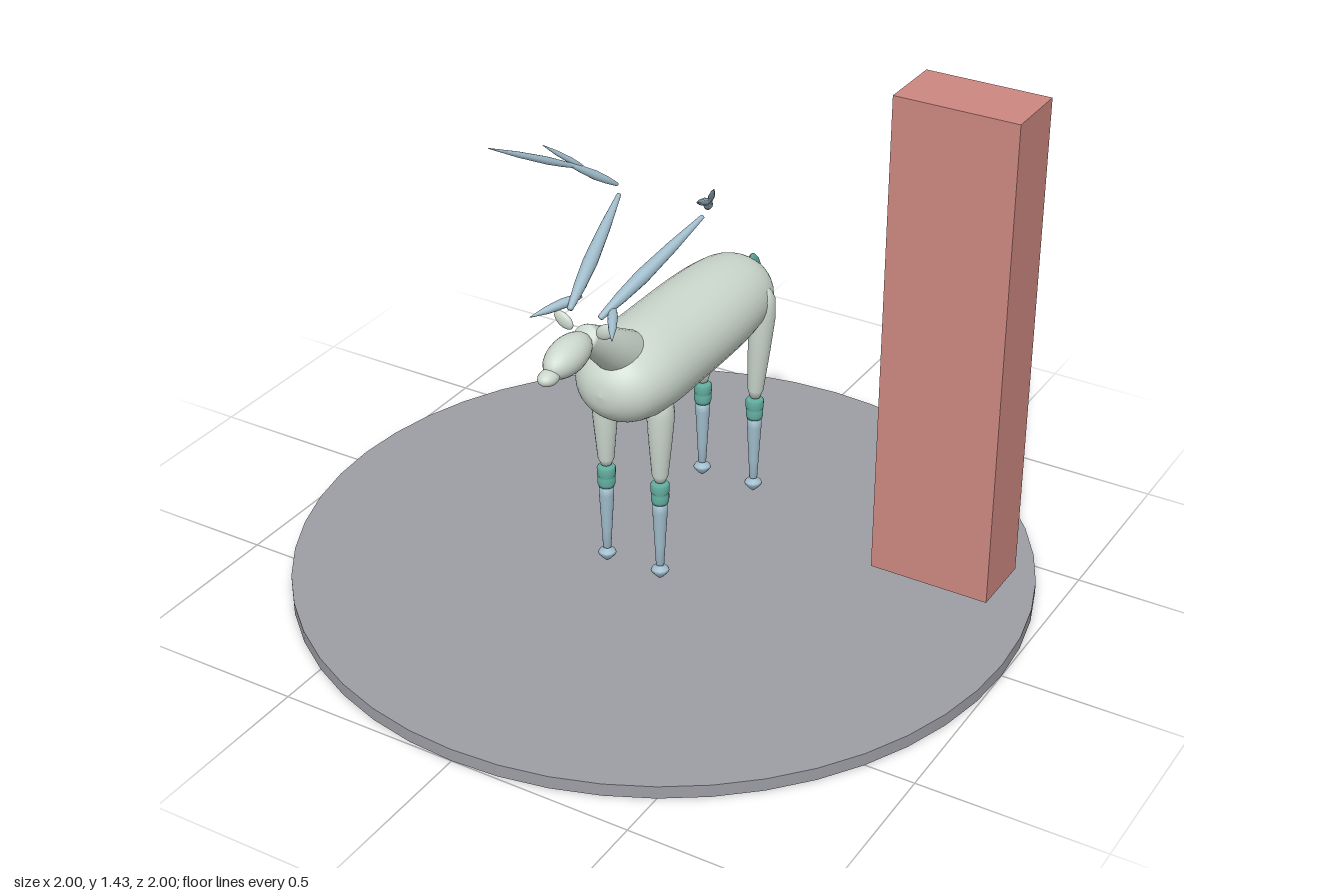
import * as THREE from 'three';

const mat = (name, color) => {
  const m = new THREE.MeshStandardMaterial({ color });
  m.name = name;
  return m;
};

export function createModel() {
  const model = new THREE.Group();
  const pale = mat('pale hide', 0xccd8ce);
  const blue = mat('horn blue', 0xa0bccb);
  const teal = mat('teal', 0x62ad9f);
  const grey = mat('base grey', 0x9d9da5);
  const red = mat('pillar red', 0xcc8880);
  const V = (x, y, z) => new THREE.Vector3(x, y, z);

  const add = (name, geo, material, parent = model) => {
    const m = new THREE.Mesh(geo, material);
    m.name = name;
    parent.add(m);
    return m;
  };
  // Lathe running from a to b; profile holds [radius, fraction of length]
  const limb = (name, a, b, profile, material, parent = model, sides = 20) => {
    const d = b.clone().sub(a), len = d.length();
    const pts = profile.map(([r, t]) => new THREE.Vector2(r, t * len));
    const m = add(name, new THREE.LatheGeometry(pts, sides), material, parent);
    m.position.copy(a);
    m.quaternion.setFromUnitVectors(V(0, 1, 0), d.normalize());
    return m;
  };
  const ball = (name, pos, radii, material, parent = model) => {
    const m = add(name, new THREE.SphereGeometry(1, 24, 16), material, parent);
    m.position.copy(pos);
    m.scale.copy(radii);
    return m;
  };
  // Pointed spindle, thickest at fraction f
  const spindle = (r, f = 0.4, end = 0.1) => [
    [0, 0], [r * 0.4, 0.01], [r * 0.8, f * 0.5], [r, f], [r * 0.75, (1 + f) / 2], [r * end, 0.99], [0, 1],
  ];

  // Base and pillar
  add('base', new THREE.CylinderGeometry(1, 1, 0.035, 48), grey).position.y = 0.0175;
  add('pillar', new THREE.BoxGeometry(0.335, 1.36, 0.185), red).position.set(0.7025, 0.75, -0.2725);

  // Body, wider than tall, rounded at both ends
  const outline = new THREE.SplineCurve([
    [0, -0.465], [0.045, -0.452], [0.08, -0.42], [0.105, -0.36], [0.119, -0.22], [0.122, 0],
    [0.121, 0.14], [0.108, 0.22], [0.085, 0.268], [0.045, 0.3], [0, 0.31],
  ].map(([r, z]) => new THREE.Vector2(r, z))).getPoints(40);
  outline.forEach(p => { p.x = Math.max(p.x, 0); });
  const bodyGeo = new THREE.LatheGeometry(outline, 32);
  bodyGeo.rotateX(Math.PI / 2).scale(1.15, 1, 1);
  add('body', bodyGeo, pale).position.y = 0.673;

  // Neck, head and muzzle
  limb('neck', V(0, 0.735, 0.185), V(0, 0.88, 0.377),
    [[0, -0.08], [0.055, -0.06], [0.067, 0], [0.05, 0.5], [0.034, 0.95], [0.03, 1], [0, 1.03]], pale, model, 24);
  ball('head', V(0, 0.863, 0.452), V(0.047, 0.046, 0.086), pale).rotation.x = 0.1;
  ball('muzzle', V(0, 0.843, 0.537), V(0.025, 0.02, 0.033), pale);

  // Tail, flattened from side to side
  limb('tail', V(0, 0.73, -0.46), V(0, 0.575, -0.54),
    [[0, 0], [0.016, 0.02], [0.027, 0.2], [0.026, 0.5], [0.021, 0.97], [0, 1]], teal).scale.x = 0.45;
  limb('tailTip', V(0, 0.585, -0.535), V(0, 0.51, -0.565),
    [[0, 0], [0.017, 0.03], [0.012, 0.5], [0, 1]], pale).scale.x = 0.5;

  for (const s of [1, -1]) {
    const side = s > 0 ? 'left' : 'right';
    // Legs
    for (const [end, z, top, topX] of [['Front', 0.155, 0.64, 0.085], ['Hind', -0.348, 0.715, 0.105]]) {
      const leg = new THREE.Group();
      leg.name = side + end + 'Leg';
      model.add(leg);
      const x = 0.082 * s;
      limb('upperLeg', V(x, 0.37, z), V(topX * s, top, z),
        [[0, 0], [0.014, 0.005], [0.022, 0.08], [0.031, 0.45], [0.037, 0.75], [0.032, 0.91], [0.018, 0.98], [0, 1]],
        pale, leg);
      limb('knee', V(x, 0.305, z), V(x, 0.366, z),
        [[0, 0], [0.021, 0], [0.024, 0.15], [0.024, 0.45], [0.021, 0.5], [0.025, 0.58], [0.025, 0.92], [0.021, 1], [0, 1]],
        teal, leg);
      limb('lowerLeg', V(x, 0.113, z), V(x, 0.308, z),
        [[0, 0], [0.011, 0], [0.014, 0.3], [0.02, 0.85], [0.02, 1], [0, 1]], blue, leg);
      limb('hoof', V(x, 0.068, z), V(x, 0.112, z),
        [[0, 0], [0.012, 0.25], [0.025, 0.62], [0.022, 0.76], [0, 1]], blue, leg, 12);
    }
    // Ears
    ball(side + 'Ear', V(0.06 * s, 0.908, 0.375), V(0.03, 0.019, 0.01), pale).rotation.z = 0.6 * s;
    // Antlers
    const antler = new THREE.Group();
    antler.name = side + 'Antler';
    model.add(antler);
    const P = (x, y, z) => V(x * s, y, z);
    limb('browTine', P(0.045, 0.952, 0.315), P(0.118, 0.928, 0.438), spindle(0.013, 0.35), blue, antler, 12);
    limb('lowerBeam', P(0.043, 0.94, 0.375), P(0.123, 1.085, 0.012), spindle(0.019, 0.4, 0.3), blue, antler, 14);
    limb('upperBeam', P(0.13, 1.106, 0.008), P(0.205, 1.195, 0.125), spindle(0.012, 0.45, 0.4), blue, antler, 12);
    limb('longTine', P(0.19, 1.178, 0.1), P(0.293, 1.3, 0.34), spindle(0.01, 0.35), blue, antler, 10);
    limb('shortTine', P(0.18, 1.168, 0.08), P(0.245, 1.255, 0.175), spindle(0.008, 0.35), blue, antler, 10);
  }
  return model;
}
